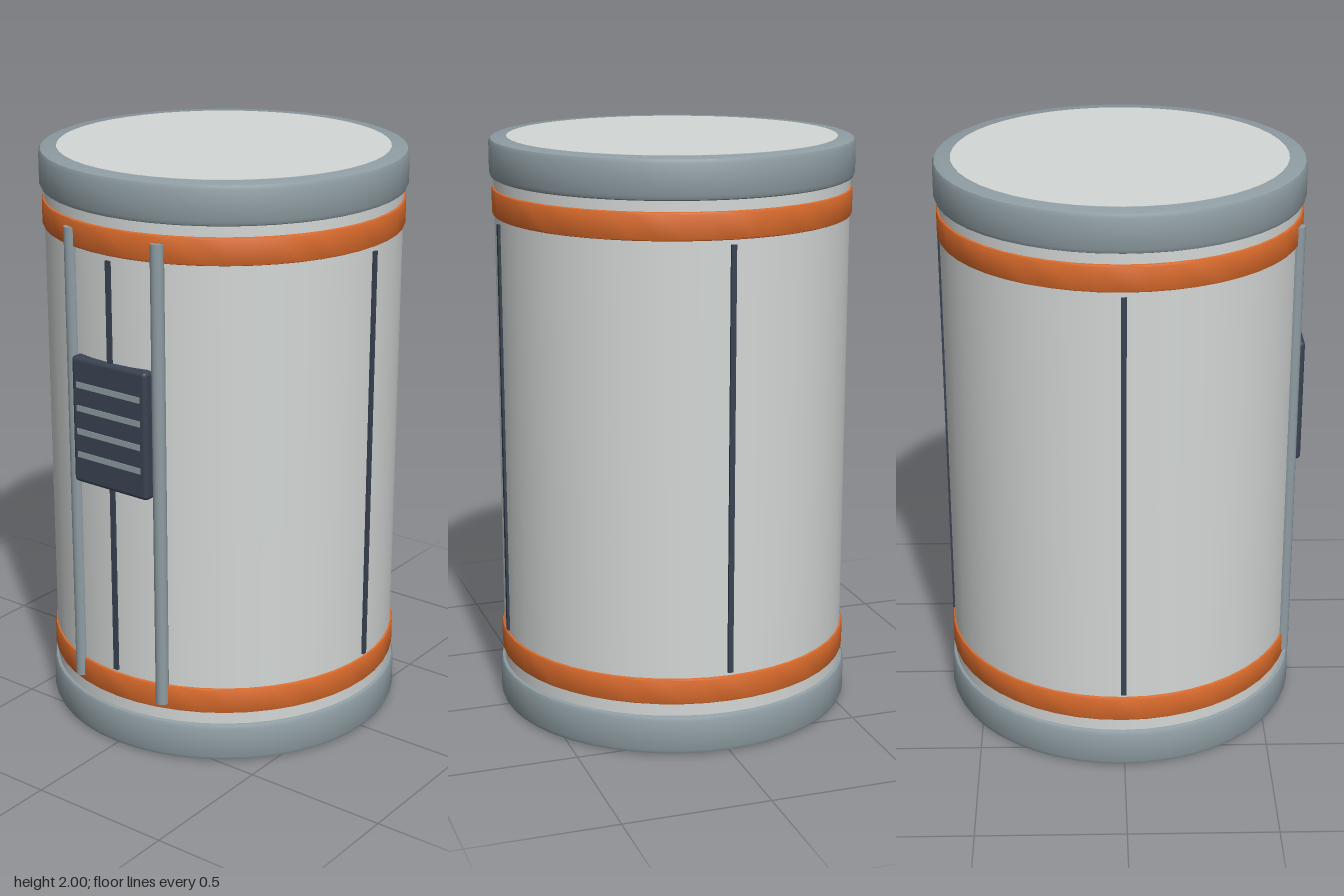
import * as THREE from 'three';
import { RoundedBoxGeometry } from 'three/addons/geometries/RoundedBoxGeometry.js';
import { toCreasedNormals } from 'three/addons/utils/BufferGeometryUtils.js';

const SEGMENTS = 48;
const CENTRE_Z = -0.004;

function material(name, color) {
  const m = new THREE.MeshStandardMaterial({ color });
  m.name = name;
  return m;
}

// Solid disc or drum between two heights, with a small bevel on both rims
function drum(radius, y0, y1, bevel) {
  const points = [
    [0, y0], [radius - bevel, y0], [radius - bevel * 0.3, y0 + bevel * 0.3], [radius, y0 + bevel],
    [radius, y1 - bevel], [radius - bevel * 0.3, y1 - bevel * 0.3], [radius - bevel, y1], [0, y1],
  ].map(([x, y]) => new THREE.Vector2(x, y));
  return toCreasedNormals(new THREE.LatheGeometry(points, SEGMENTS), 0.6);
}

export function createModel() {
  const shell = material('pale shell', 0xd3d7d5);
  const steel = material('blue grey steel', 0x8f9da3);
  const orange = material('orange band', 0xd96a2b);
  const dark = material('dark slate', 0x3a4352);

  const model = new THREE.Group();
  model.name = 'canister';
  const add = (name, geometry, mat, x = 0, y = 0, z = 0, parent = model) => {
    const mesh = new THREE.Mesh(geometry, mat);
    mesh.name = name;
    mesh.position.set(x, y, z);
    parent.add(mesh);
    return mesh;
  };

  // Main drum
  add('body', new THREE.CylinderGeometry(0.605, 0.605, 1.8, SEGMENTS, 1, true), shell, 0, 1, CENTRE_Z);

  // End caps, each with a pale inset face
  add('bottomCap', drum(0.62, 0.001, 0.14, 0.018), steel, 0, 0, CENTRE_Z);
  add('topCap', drum(0.62, 1.863, 1.999, 0.018), steel, 0, 0, CENTRE_Z);
  add('bottomFace', new THREE.CylinderGeometry(0.56, 0.56, 0.005, SEGMENTS), shell, 0, 0.0025, CENTRE_Z);
  add('topFace', new THREE.CylinderGeometry(0.56, 0.56, 0.005, SEGMENTS), shell, 0, 1.9975, CENTRE_Z);

  // Coloured bands
  add('lowerBand', drum(0.613, 0.18, 0.272, 0.008), orange, 0, 0, CENTRE_Z);
  add('upperBand', drum(0.613, 1.738, 1.83, 0.008), orange, 0, 0, CENTRE_Z);

  // Four vertical seams
  for (let i = 0; i < 4; i++) {
    const a = (i * Math.PI) / 2;
    const seam = add('seam', new THREE.BoxGeometry(0.018, 1.44, 0.02), dark,
      Math.sin(a) * 0.603, 1.003, Math.cos(a) * 0.603 + CENTRE_Z);
    seam.rotation.y = a;
  }

  // Front rails
  for (const side of [-1, 1]) {
    add(side < 0 ? 'rightRail' : 'leftRail',
      new THREE.CylinderGeometry(0.023, 0.023, 1.6, 12), steel, side * 0.178, 1.003, 0.577);
  }

  // Vent panel with four slats
  const vent = new THREE.Group();
  vent.name = 'ventPanel';
  model.add(vent);
  add('panel', new RoundedBoxGeometry(0.312, 0.44, 0.06, 3, 0.015), dark, 0, 1.163, 0.589, vent);
  for (let i = 0; i < 4; i++) {
    add('slat', new THREE.BoxGeometry(0.266, 0.02, 0.009), steel, 0, 1.045 + i * 0.081, 0.6175, vent);
  }

  return model;
}
